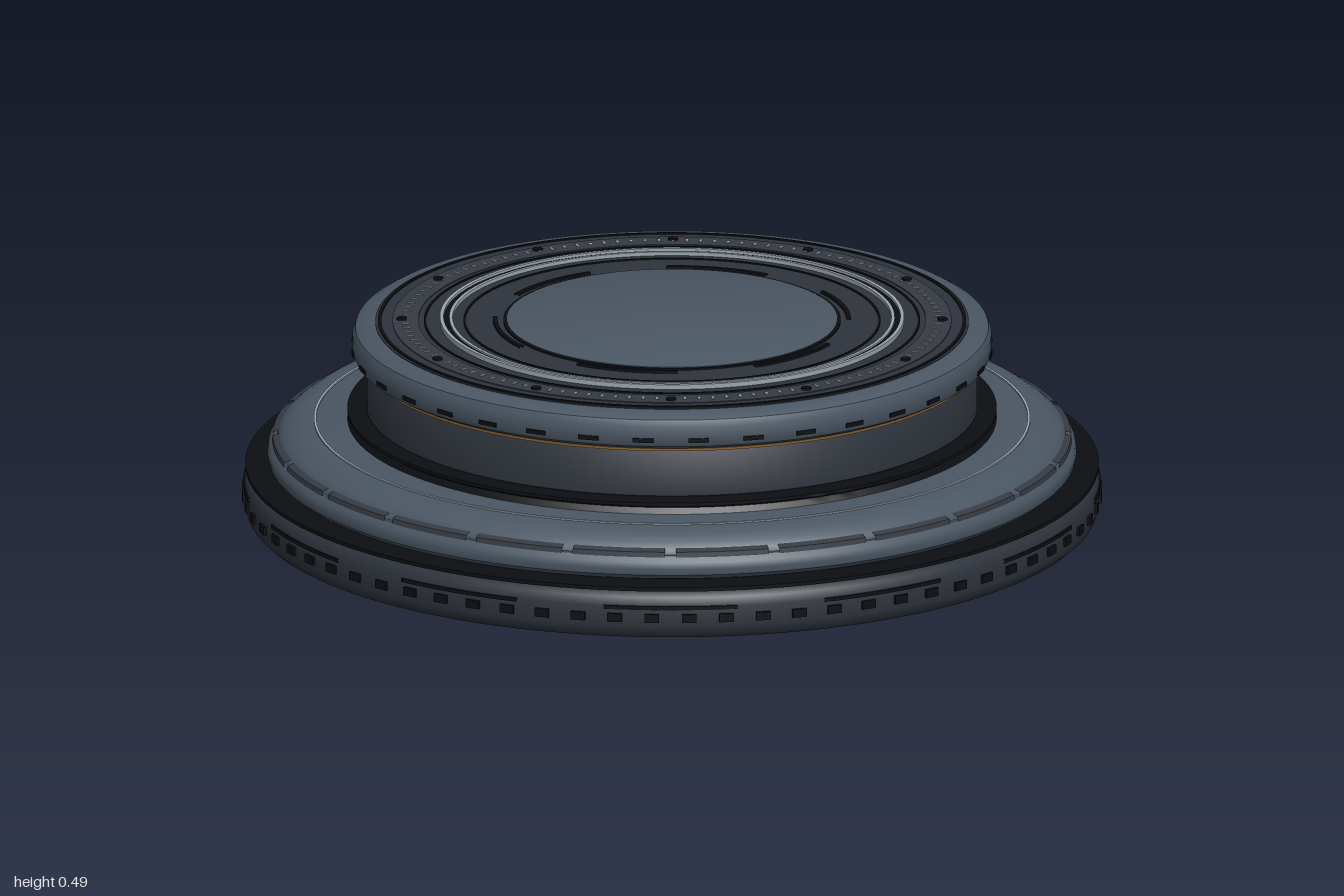
import * as THREE from 'three';
import { mergeGeometries, toCreasedNormals } from 'three/addons/utils/BufferGeometryUtils.js';

const mat = (color) => new THREE.MeshStandardMaterial({ color, side: THREE.DoubleSide });
const slate = mat(0x4a5663);
const dark = mat(0x2e333c);
const panel = mat(0x363b44);
const black = mat(0x0c0e12);
const underside = mat(0x1b1c20);
const silver = mat(0x9aa4ae);
const gold = mat(0x86602f);

export function createModel() {
  const model = new THREE.Group();

  const add = (name, geometry, material) => {
    const mesh = new THREE.Mesh(geometry, material);
    mesh.name = name;
    model.add(mesh);
  };

  // Solid of revolution from [radius, height] points, bottom to top
  const turned = (points, segments = 128, start = 0, length = Math.PI * 2) =>
    new THREE.LatheGeometry(points.map(([r, y]) => new THREE.Vector2(r, y)), segments, start, length);
  const addTurned = (name, points, material) =>
    add(name, toCreasedNormals(turned(points), 0.6), material);

  // Rectangular ring section
  const section = (r0, r1, y0, y1) => [[r0, y0], [r1, y0], [r1, y1], [r0, y1], [r0, y0]];
  const addRing = (name, r0, r1, y0, y1, material) =>
    addTurned(name, section(r0, r1, y0, y1), material);

  // Evenly spaced curved strips; angles in degrees
  const addArcs = (name, count, first, span, points, material) => {
    const parts = [];
    for (let i = 0; i < count; i++) {
      const start = THREE.MathUtils.degToRad(first + (i * 360) / count - span / 2);
      parts.push(turned(points, 8, start, THREE.MathUtils.degToRad(span)));
    }
    add(name, toCreasedNormals(mergeGeometries(parts), 0.6), material);
  };

  // Evenly spaced small copies of a geometry around a circle
  const addAround = (name, count, radius, y, geometry, material, offset = 0) => {
    const parts = [];
    for (let i = 0; i < count; i++) {
      parts.push(geometry.clone().translate(0, y, radius)
        .rotateY(((i + offset) / count) * Math.PI * 2));
    }
    add(name, mergeGeometries(parts), material);
  };

  // Base with rounded rim
  addTurned('bottomPlate', [[0, 0], [0.955, 0], [0.955, 0.004]], underside);
  addTurned('base', [
    [0.955, 0.001], [0.975, 0.006], [0.988, 0.018], [0.993, 0.035], [0.994, 0.085],
    [0.988, 0.106], [0.975, 0.119], [0.955, 0.123], [0.9, 0.123],
  ], dark);
  addAround('baseStuds', 72, 0.992, 0.058, new THREE.BoxGeometry(0.034, 0.02, 0.016), black, 0.5);
  addArcs('baseSlots', 12, 15, 18, section(0.98, 0.997, 0.078, 0.087), black);
  addRing('baseSeam', 0.9, 0.992, 0.122, 0.131, black);

  // Stepped shoulder
  addTurned('lowerStep', [
    [0.9, 0.13], [0.925, 0.133], [0.938, 0.145], [0.941, 0.16], [0.938, 0.175],
    [0.926, 0.188], [0.905, 0.192],
  ], slate);
  addTurned('shoulder', [
    [0.92, 0.188], [0.916, 0.2], [0.9, 0.214], [0.878, 0.228], [0.85, 0.235], [0.7, 0.237],
  ], slate);
  addArcs('shoulderPanels', 24, 7.5, 13.4,
    [[0.93, 0.186], [0.928, 0.198], [0.91, 0.204], [0.9, 0.198]], panel);
  addRing('shoulderInlay', 0.827, 0.833, 0.23, 0.2385, silver);

  // Neck
  addTurned('neckCollar', [
    [0.755, 0.235], [0.745, 0.25], [0.755, 0.256], [0.755, 0.264], [0.7, 0.266],
  ], black);
  addTurned('neck', [
    [0.7, 0.26], [0.711, 0.268], [0.711, 0.375], [0.7, 0.392],
  ], dark);
  addRing('neckTrim', 0.7, 0.715, 0.378, 0.384, gold);

  // Cap
  addTurned('cap', [
    [0.69, 0.385], [0.722, 0.387], [0.737, 0.396], [0.743, 0.41], [0.743, 0.444],
    [0.736, 0.46], [0.72, 0.469], [0.69, 0.472],
  ], slate);
  addAround('capSlots', 36, 0.741, 0.412, new THREE.BoxGeometry(0.048, 0.01, 0.01), black);
  addTurned('topPlate', [[0.69, 0.465], [0.69, 0.474], [0, 0.474]], dark);

  // Rings and marks on the top plate
  addRing('outerSeam', 0.676, 0.684, 0.47, 0.477, black);
  addRing('markTrack', 0.59, 0.65, 0.47, 0.4765, panel);
  addAround('tickMarks', 120, 0.62, 0.4765, new THREE.BoxGeometry(0.007, 0.004, 0.018), silver);
  addAround('bolts', 12, 0.628, 0.477, new THREE.CylinderGeometry(0.012, 0.012, 0.008, 10), black, 0.5);
  addRing('trackSeam', 0.572, 0.577, 0.47, 0.477, black);
  addRing('outerBand', 0.531, 0.54, 0.47, 0.485, silver);
  addRing('bandGroove', 0.518, 0.531, 0.47, 0.479, black);
  addRing('innerBand', 0.51, 0.518, 0.47, 0.483, silver);
  addRing('innerSeam', 0.48, 0.485, 0.47, 0.477, black);
  addArcs('innerSlots', 6, 0, 34, section(0.406, 0.416, 0.47, 0.48), black);

  // Centre disc
  addTurned('discRim', [[0.392, 0.47], [0.392, 0.478], [0.375, 0.479]], black);
  addTurned('centreDisc', [[0.385, 0.472], [0.385, 0.48], [0.38, 0.482], [0, 0.482]], slate);

  return model;
}
